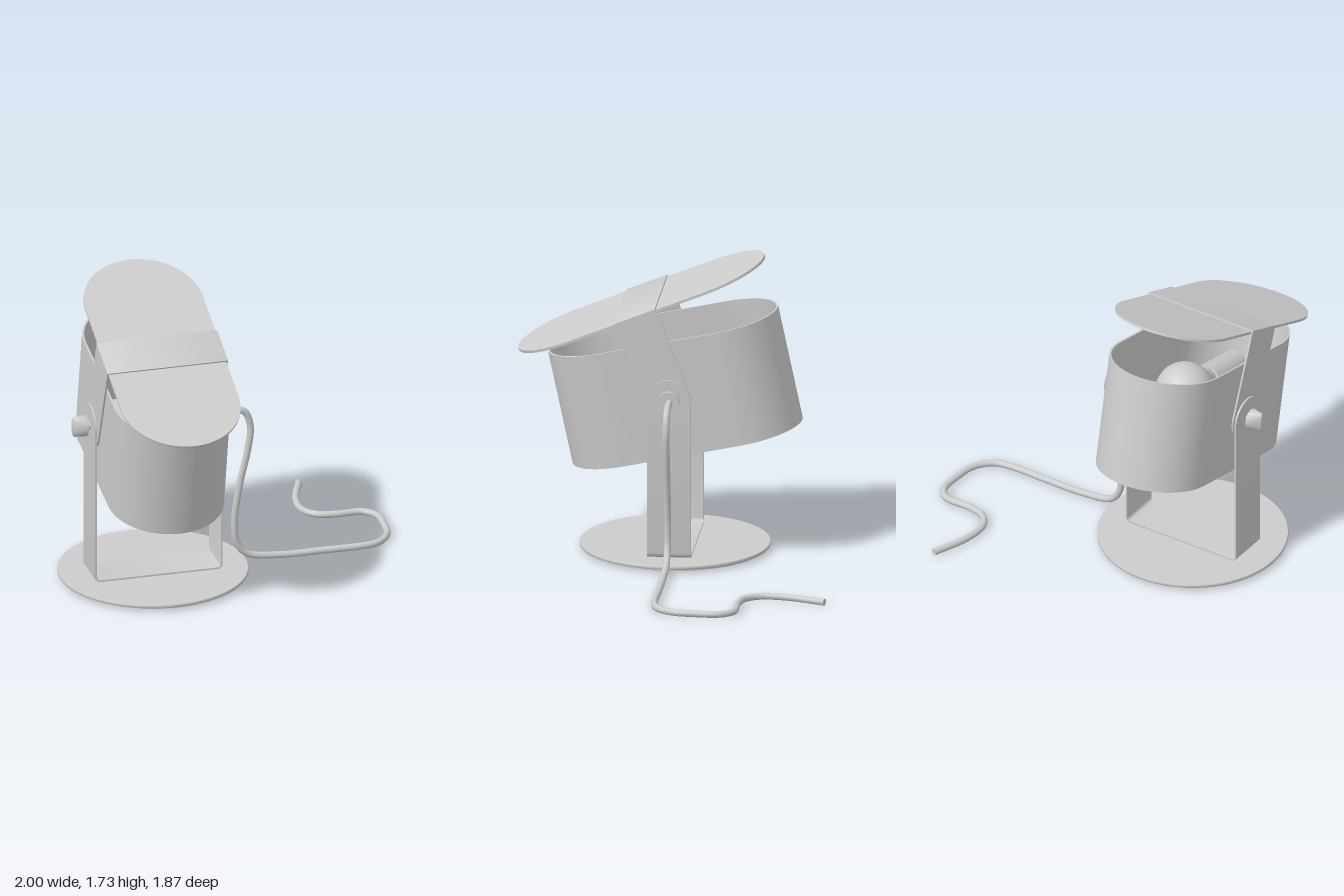
import * as THREE from 'three';
import { toCreasedNormals } from 'three/addons/utils/BufferGeometryUtils.js';

const GREY = new THREE.MeshStandardMaterial({ color: 0xcccccc, side: THREE.DoubleSide });
const AXIS_X = -0.455, PIVOT_Y = 0.96, PIVOT_Z = 0.04;
const STRAP_W = 0.25, STRAP_T = 0.01;

function part(name, geometry, parent, x = 0, y = 0, z = 0) {
  const mesh = new THREE.Mesh(geometry, GREY);
  mesh.name = name;
  mesh.position.set(x, y, z);
  parent.add(mesh);
  return mesh;
}

function extrude(shape, depth) {
  const g = new THREE.ExtrudeGeometry(shape, { depth, bevelEnabled: false, curveSegments: 32 });
  return toCreasedNormals(g, 0.5);
}

// Round-ended oblong, long along y
function oblong(r, halfLength, Type = THREE.Shape) {
  const s = new Type(), c = halfLength - r;
  s.absarc(0, c, r, 0, Math.PI);
  s.absarc(0, -c, r, Math.PI, Math.PI * 2);
  s.closePath();
  return s;
}

// Oblong slab lying flat, rising from y = 0
function slab(r, halfLength, height, wall = 0) {
  const s = oblong(r, halfLength);
  if (wall) s.holes.push(oblong(r - wall, halfLength - wall, THREE.Path));
  return extrude(s, height).rotateX(-Math.PI / 2);
}

// Cylinder along x
const rod = (r, length, sides = 32) =>
  new THREE.CylinderGeometry(r, r, length, sides).rotateZ(Math.PI / 2);

// U-shaped strap hanging from the pivot, legs ending in half discs
function strap(name, half, length, r) {
  const group = new THREE.Group();
  group.name = name;
  const s = new THREE.Shape(), t = STRAP_T, ri = Math.max(r - t, 0.001);
  s.moveTo(-half, 0);
  s.lineTo(-half, -length + r);
  s.absarc(-half + r, -length + r, r, Math.PI, Math.PI * 1.5);
  s.absarc(half - r, -length + r, r, Math.PI * 1.5, Math.PI * 2);
  s.lineTo(half, 0);
  s.lineTo(half - t, 0);
  s.absarc(half - t - ri, -length + t + ri, ri, 0, -Math.PI / 2, true);
  s.absarc(-half + t + ri, -length + t + ri, ri, -Math.PI / 2, -Math.PI, true);
  s.lineTo(-half + t, 0);
  s.closePath();
  part(name + 'Band', extrude(s, STRAP_W).translate(0, 0, -STRAP_W / 2), group);
  const end = new THREE.Shape();
  end.absarc(0, 0, STRAP_W / 2, 0, Math.PI);
  end.closePath();
  for (const x of [-half, half - t]) {
    part(name + 'RoundEnd', extrude(end, t).rotateY(Math.PI / 2), group, x);
  }
  return group;
}

const lathe = (pts, sides = 32) =>
  toCreasedNormals(new THREE.LatheGeometry(pts.map(p => new THREE.Vector2(...p)), sides), 0.6);

export function createModel() {
  const model = new THREE.Group();
  model.name = 'spotLamp';

  // Round foot with a recessed underside rim
  part('base', lathe([[0, 0], [0.51, 0], [0.51, 0.015], [0.54, 0.015], [0.543, 0.02],
    [0.543, 0.03], [0.54, 0.035], [0, 0.035]], 64), model, AXIS_X, 0, PIVOT_Z);

  // Everything on the pivot axis
  const pivot = new THREE.Group();
  pivot.name = 'pivotAssembly';
  pivot.position.set(AXIS_X, PIVOT_Y, PIVOT_Z);
  model.add(pivot);
  pivot.add(strap('standBracket', 0.375, 0.925, 0.03));

  // Tilted open-topped housing
  const housing = new THREE.Group();
  housing.name = 'housing';
  housing.rotation.x = 0.21;
  pivot.add(housing);
  part('housingWall', slab(0.335, 0.67, 0.675, 0.012), housing, 0, -0.3375);
  part('housingFloor', slab(0.325, 0.66, 0.012), housing, 0, -0.337);
  part('switch', slab(0.025, 0.118, 0.035), housing, 0, -0.368, 0.495);

  // Bulb lying along the housing, with its socket in front
  const bulb = [[0, -0.17]];
  for (let i = 1; i <= 12; i++) {
    const a = -Math.PI / 2 + (i / 12) * 2.45;
    bulb.push([0.17 * Math.cos(a), 0.17 * Math.sin(a)]);
  }
  bulb.push([0.075, 0.19], [0.065, 0.26]);
  part('bulb', lathe(bulb).rotateX(Math.PI / 2), housing, 0, 0.07, -0.1);
  part('socket', new THREE.CylinderGeometry(0.085, 0.085, 0.3, 32).rotateX(Math.PI / 2),
    housing, 0, 0.07, 0.28);
  part('socketSupport', new THREE.BoxGeometry(0.1, 0.36, 0.04), housing, 0, -0.15, 0.3);

  // Shade plate carried by an upturned strap
  const shade = new THREE.Group();
  shade.name = 'shade';
  shade.rotation.x = 0.382;
  pivot.add(shade);
  const shadeStrap = strap('shadeStrap', 0.355, 0.532, 0.002);
  shadeStrap.rotation.z = Math.PI;
  shade.add(shadeStrap);
  part('shadePlate', slab(0.346, 0.755, 0.015), shade, 0, 0.509);

  // Pivot pins, cable grommet and wing knob
  for (const side of [-1, 1]) part('pivotPin', rod(0.025, 0.075), pivot, side * 0.362);
  part('grommet', rod(0.062, 0.022), pivot, 0.387);
  const knob = lathe([[0, 0], [0.06, 0], [0.062, 0.006], [0.062, 0.07], [0.058, 0.078],
    [0.05, 0.082], [0, 0.082]]).rotateZ(Math.PI / 2);
  const p = knob.attributes.position;
  for (let i = 0; i < p.count; i++) {
    p.setZ(i, p.getZ(i) * THREE.MathUtils.lerp(0.95, 0.35, -p.getX(i) / 0.082));
  }
  part('knob', toCreasedNormals(knob, 0.6), pivot, -0.393);

  // Cable dropping to the floor and wandering to the back
  const cable = new THREE.CatmullRomCurve3([
    [-0.065, 0.96, 0.035], [0.02, 0.957, 0.035], [0.085, 0.935, 0.035], [0.12, 0.84, 0.035],
    [0.105, 0.7, 0.035], [0.06, 0.5, 0.035], [0.027, 0.27, 0.035], [0.04, 0.13, 0.035],
    [0.1, 0.055, 0.035], [0.3, 0.023, 0.035], [0.55, 0.021, 0.035], [0.78, 0.021, 0.035],
    [0.88, 0.021, 0.01], [0.955, 0.021, -0.08], [0.978, 0.021, -0.22], [0.972, 0.021, -0.36],
    [0.91, 0.021, -0.43], [0.75, 0.021, -0.437], [0.645, 0.021, -0.465], [0.585, 0.021, -0.55],
    [0.59, 0.021, -0.7], [0.67, 0.021, -0.925],
  ].map(v => new THREE.Vector3(...v)));
  part('cable', new THREE.TubeGeometry(cable, 160, 0.02, 12), model);
  const tip = new THREE.CircleGeometry(0.02, 12);
  const end = part('cableTip', tip, model);
  end.position.copy(cable.getPoint(1));
  end.lookAt(cable.getPoint(1).add(cable.getTangent(1)));

  return model;
}
